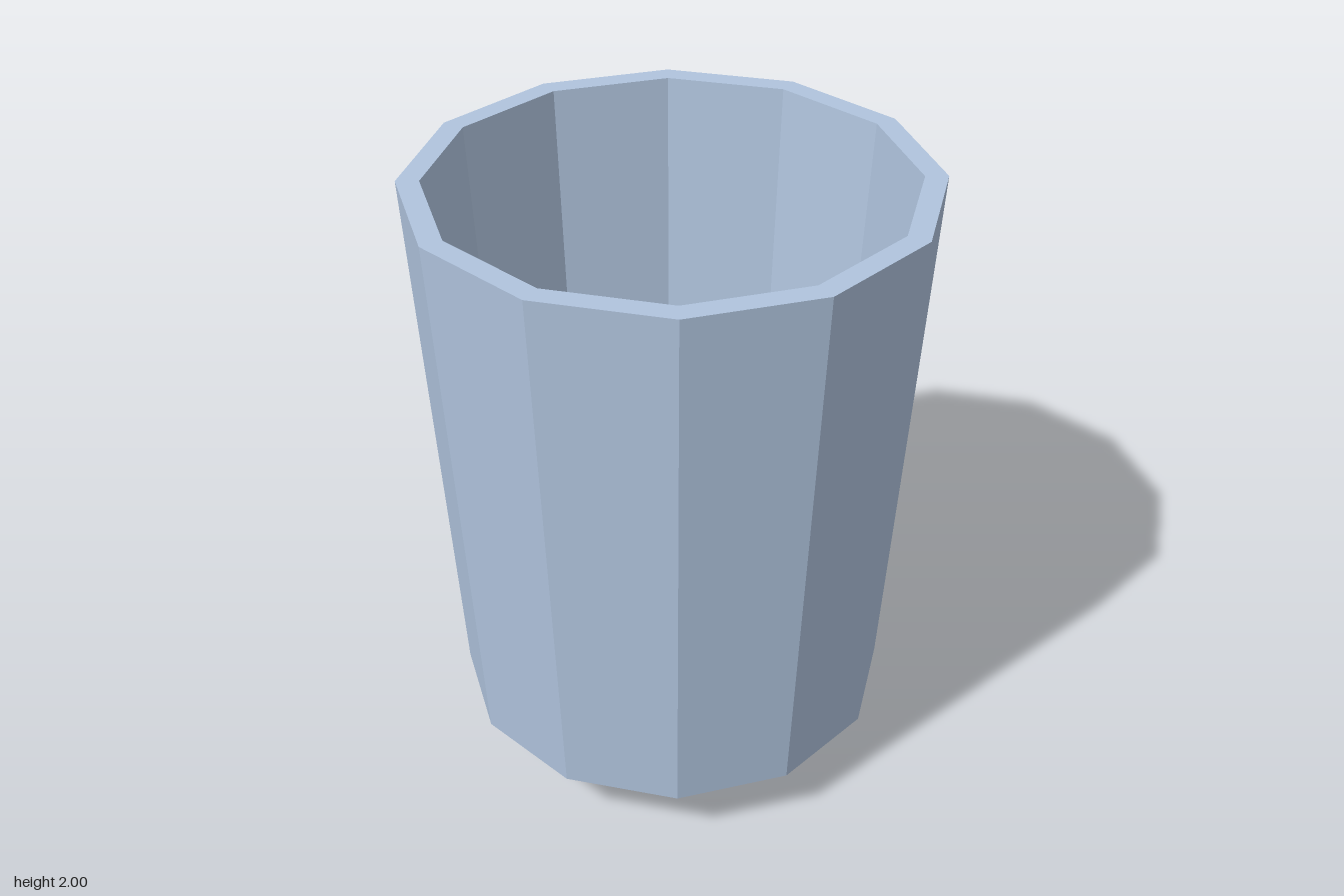
import * as THREE from 'three';

const SIDES = 12;

export function createModel() {
  const model = new THREE.Group();
  model.name = 'cup';

  const paleBlue = new THREE.MeshStandardMaterial({ color: 0xb0c4de, flatShading: true });
  paleBlue.name = 'paleBlue';

  // Turns a [radius, height] profile into a twelve-sided part
  const addLathe = (name, profile) => {
    const points = profile.map(([r, y]) => new THREE.Vector2(r, y));
    const mesh = new THREE.Mesh(new THREE.LatheGeometry(points, SIDES), paleBlue);
    mesh.name = name;
    model.add(mesh);
  };

  // Underside and bevelled foot
  addLathe('base', [[0, 0], [0.5, 0], [0.7, 0.2]]);
  // Tapered outer wall, flat rim and inner wall
  addLathe('wall', [[0.7, 0.2], [0.8, 2], [0.73, 2], [0.63, 0.2]]);
  // Slightly dished inside floor
  addLathe('floor', [[0.63, 0.2], [0, 0.16]]);

  return model;
}
